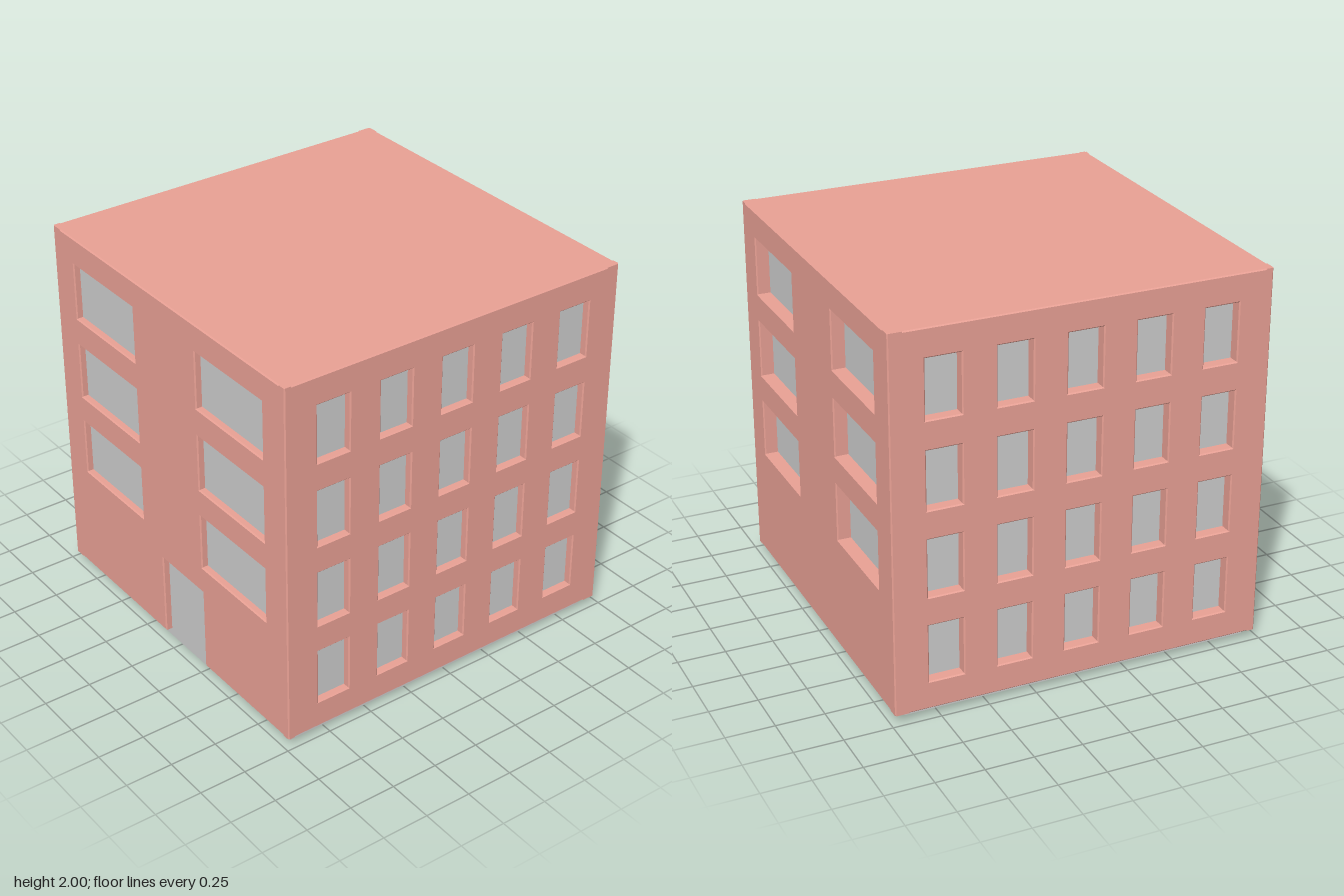
import * as THREE from 'three';

const HALF = 0.98, BASE = 0.045, TOP = 2, BEVEL = 0.006;
const ROWS = [0.192, 0.645, 1.097, 1.55]; // window sill heights, ground floor first
const WINDOW_HEIGHT = 0.303;

function rectPath(x, y, w, h) {
  return new THREE.Path([
    [x, y], [x, y + h], [x + w, y + h], [x + w, y],
  ].map(([a, b]) => new THREE.Vector2(a, b)));
}

// Bevelled facade panel; reveal is how far the glazing sits behind its face
function makeWall(name, material, angle, reveal, columns, width, rows, door) {
  const outline = [[-HALF, BASE]];
  if (door) outline.push([-0.095, BASE], [-0.095, 0.497], [0.265, 0.497], [0.265, BASE]);
  outline.push([HALF, BASE], [HALF, TOP], [-HALF, TOP]);
  const shape = new THREE.Shape(outline.map(([x, y]) => new THREE.Vector2(x, y)));
  for (const y of rows) {
    for (const x of columns) shape.holes.push(rectPath(x - width / 2, y, width, WINDOW_HEIGHT));
  }
  const depth = reveal - BEVEL + 0.002;
  const geometry = new THREE.ExtrudeGeometry(shape, {
    depth, bevelEnabled: true, bevelSegments: 1,
    bevelSize: BEVEL, bevelThickness: BEVEL, bevelOffset: -BEVEL,
  });
  geometry.translate(0, 0, HALF - depth - BEVEL);
  const wall = new THREE.Mesh(geometry, material);
  wall.name = name;
  wall.rotation.y = angle;
  return wall;
}

export function createModel() {
  const building = new THREE.Group();
  building.name = 'building';
  const brick = new THREE.MeshStandardMaterial({ color: 0xe8a094 });
  const grey = new THREE.MeshStandardMaterial({ color: 0xcccccc });

  // Grey core: shows as glazing, door and plinth; slightly off centre
  const core = new THREE.Mesh(new THREE.BoxGeometry(1.86, 1.97, 1.855), grey);
  core.name = 'glazingCore';
  core.position.set(0.01, 0.985, 0.0175);
  building.add(core);

  // Facades
  const wide = [-0.535, 0.535], narrow = [-0.712, -0.356, 0, 0.356, 0.712];
  const upper = ROWS.slice(1), q = Math.PI / 2;
  building.add(
    makeWall('frontWall', brick, 0, 0.035, wide, 0.538, upper, true),
    makeWall('backWall', brick, 2 * q, 0.07, wide, 0.538, upper, false),
    makeWall('leftWall', brick, q, 0.04, narrow, 0.18, ROWS, false),
    makeWall('rightWall', brick, -q, 0.06, narrow, 0.18, ROWS, false),
  );

  // Flat roof, level with the wall tops
  const side = 2 * (HALF - BEVEL);
  const roof = new THREE.Mesh(new THREE.BoxGeometry(side, 0.06, side), brick);
  roof.name = 'roof';
  roof.position.y = TOP - 0.03;
  building.add(roof);
  return building;
}
